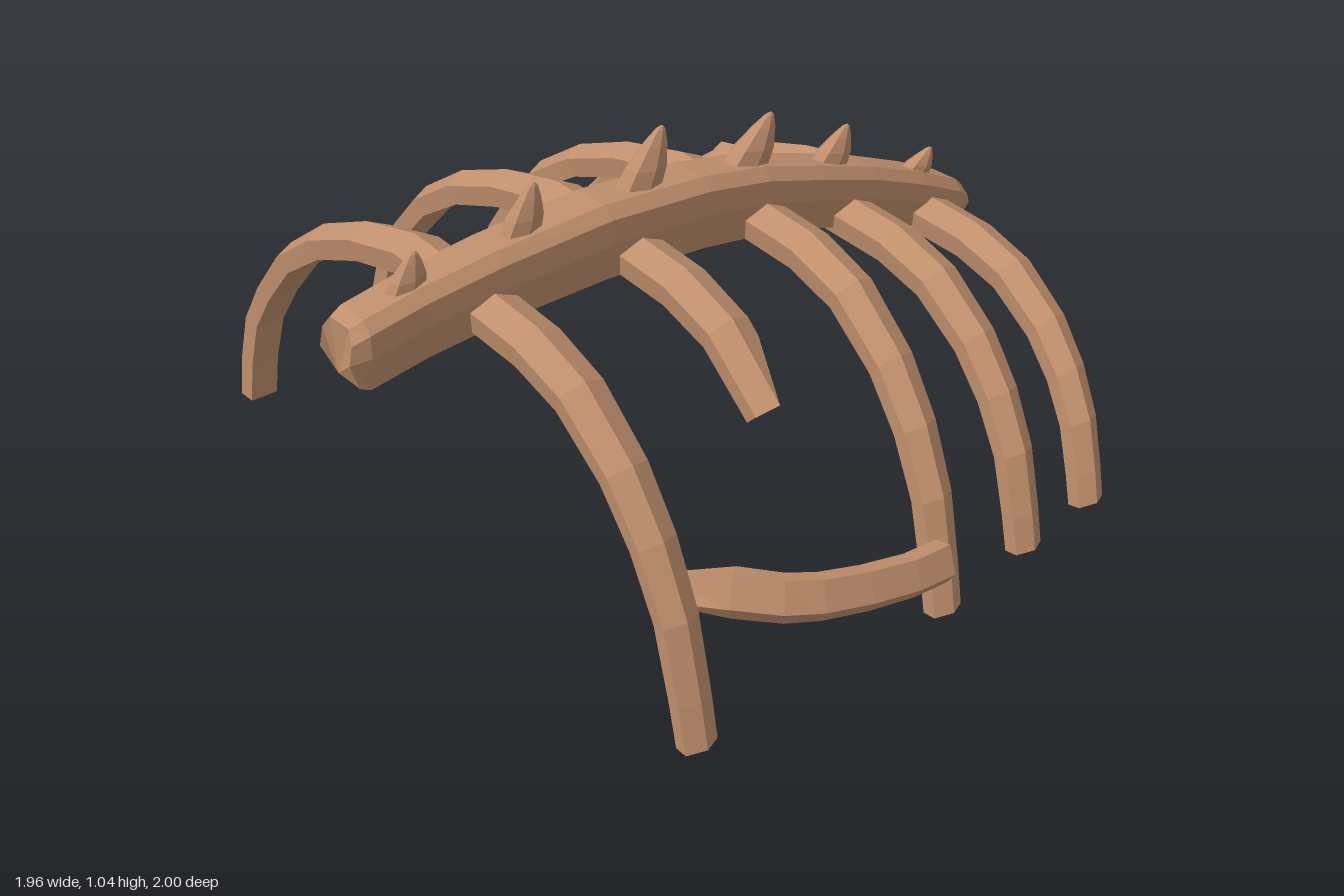
import * as THREE from 'three';

const bone = new THREE.MeshStandardMaterial({ color: 0xc08f6d });
bone.name = 'tan bone';
const V = (x, y, z) => new THREE.Vector3(x, y, z);
const lerp = THREE.MathUtils.lerp;

// Faceted skin over a list of rings, capped at both ends
function skin(name, rings) {
  const tris = [], n = rings[0].length, last = rings.length - 1;
  for (let i = 0; i < last; i++) for (let j = 0; j < n; j++) {
    const k = (j + 1) % n;
    const a = rings[i][j], b = rings[i][k], c = rings[i + 1][k], d = rings[i + 1][j];
    tris.push([a, b, c], [a, c, d]);
  }
  for (let j = 1; j < n - 1; j++) {
    tris.push([rings[0][0], rings[0][j + 1], rings[0][j]]);
    tris.push([rings[last][0], rings[last][j], rings[last][j + 1]]);
  }
  // Turn the faces outward whichever way the rings run
  const mid = rings[0][0];
  let volume = 0;
  for (const [a, b, c] of tris) {
    volume += a.clone().sub(mid).dot(b.clone().sub(mid).cross(c.clone().sub(mid)));
  }
  if (volume < 0) tris.forEach(t => t.reverse());
  const geo = new THREE.BufferGeometry().setFromPoints(tris.flat());
  geo.computeVertexNormals();
  const mesh = new THREE.Mesh(geo, bone);
  mesh.name = name;
  return mesh;
}

// Linear lookup in rows [t, value], extrapolating past the ends
function lookup(rows, t) {
  let i = 0;
  while (i < rows.length - 2 && t > rows[i + 1][0]) i++;
  const [a, p] = rows[i], [b, q] = rows[i + 1];
  return lerp(p, q, (t - a) / (b - a));
}

// Spine: [z, bottom, top, half width, x centre]
const SPINE = [
  [0.98, 0.67, 0.82, 0.06, 0.03], [0.95, 0.665, 0.838, 0.07, 0.035], [0.8, 0.69, 0.865, 0.072, 0.035],
  [0.6, 0.71, 0.89, 0.076, 0.038], [0.3, 0.72, 0.91, 0.082, 0.042], [0, 0.7, 0.89, 0.082, 0.042],
  [-0.2, 0.67, 0.855, 0.08, 0.042], [-0.4, 0.62, 0.795, 0.077, 0.04], [-0.6, 0.56, 0.73, 0.073, 0.037],
  [-0.8, 0.49, 0.65, 0.07, 0.032], [-0.95, 0.43, 0.58, 0.067, 0.027], [-0.98, 0.44, 0.555, 0.057, 0.025],
];
const spineTop = z => lookup(SPINE.map(r => [-r[0], r[2]]), -z);

function makeSpine() {
  const rings = SPINE.map(([z, lo, hi, w, x], i) => {
    const out = i === 0 ? 0.02 : i === SPINE.length - 1 ? -0.02 : 0;
    return [
      V(x - w * 0.75, lo, z - out * 0.5), V(x - w, lerp(lo, hi, 0.5), z + out), V(x - w, hi - 0.03, z + out * 0.5),
      V(x - w * 0.65, hi, z), V(x + w * 0.65, hi, z),
      V(x + w, hi - 0.03, z + out * 0.5), V(x + w, lerp(lo, hi, 0.5), z + out), V(x + w * 0.75, lo, z - out * 0.5),
    ];
  });
  return skin('spine', rings);
}

// Spikes along the spine: [z, half length, half width, tip z, tip y]
const SPIKES = [
  [0.82, 0.055, 0.036, 0.8, 0.945], [0.51, 0.06, 0.04, 0.475, 1.01], [0.165, 0.068, 0.046, 0.1, 1.04],
  [-0.175, 0.072, 0.046, -0.25, 0.975], [-0.47, 0.06, 0.04, -0.52, 0.865], [-0.8, 0.05, 0.034, -0.845, 0.705],
];
function makeSpike([z, rz, rx, tipZ, tipY]) {
  const rings = [[0, 1], [0.4, 0.86], [0.75, 0.5], [0.95, 0.22], [1, 0.08]].map(([t, s]) =>
    Array.from({ length: 7 }, (_, j) => {
      const a = j / 7 * Math.PI * 2, dz = Math.sin(a) * rz * s;
      const base = spineTop(z + dz) - 0.02;
      return V(lerp(0.04, 0.06, t) + Math.cos(a) * rx * s, lerp(base, tipY, t), lerp(z, tipZ, t) + dz);
    }));
  return skin('spike', rings);
}

// Rib ridge height from spine (t = 0) to tip (t = 1), as a share of the drop
const ARCH = {
  left: [[0, 1], [0.24, 1.03], [0.44, 0.97], [0.62, 0.87], [0.77, 0.72], [0.87, 0.54], [0.94, 0.37], [0.98, 0.17], [1, 0]],
  right: [[0, 1], [0.28, 0.97], [0.48, 0.9], [0.68, 0.74], [0.81, 0.57], [0.91, 0.37], [0.97, 0.14], [1, 0]],
};
// Rib section: [depth below the ridge, offset in z]
const SECTION = [[0, 0], [0.03, 0.065], [0.09, 0.055], [0.09, -0.055], [0.03, -0.065]];

// cut: t range; slantA and slantB lengthen the front edge at either end of a broken piece
function makeRib(name, side, z0, y0, [tx, ty, tz], cut = [0, 1], slantA = 0, slantB = 0) {
  const arch = ARCH[side], sign = side === 'left' ? -1 : 1;
  const at = t => V(lerp(0.04, tx, t), lerp(ty, y0, lookup(arch, t)), lerp(z0, tz, Math.abs(t) ** 2.4));
  const stops = [cut[0], ...arch.map(r => r[0]).filter(t => t > cut[0] + 0.05 && t < cut[1] - Math.max(0.015, slantB)), cut[1]];
  const rings = stops.map((stop, i) => SECTION.map(([d, w]) => {
    const slant = i === 0 ? -slantA : i === stops.length - 1 ? slantB : 0;
    const t = stop + slant * Math.min(0, w / 0.065);
    const tan = at(Math.min(t + 0.03, 1)).sub(at(t - 0.03)).setZ(0).normalize();
    const size = lerp(1, 0.7, t * t);
    const normal = V(-tan.y * sign, tan.x * sign, 0);
    return at(t).addScaledVector(normal, -d * size).add(V(0, 0, w * size));
  }));
  return skin(name, rings);
}

// Curved fragment lying beside the ribs: [x, z, bottom, top]
function makeFragment() {
  const path = [[0.975, 0, 0.175, 0.28], [0.965, 0.1, 0.175, 0.28], [0.935, 0.22, 0.178, 0.287],
    [0.895, 0.33, 0.182, 0.295], [0.845, 0.41, 0.184, 0.302], [0.755, 0.49, 0.185, 0.308], [0.635, 0.57, 0.19, 0.265]];
  const rings = path.map(([x, z, lo, hi], i) => {
    const a = path[Math.max(0, i - 1)], b = path[Math.min(path.length - 1, i + 1)];
    const inward = V(a[1] - b[1], 0, b[0] - a[0]).normalize();
    const p = (y, d) => V(x, y, z).addScaledVector(inward, d);
    return [p(lerp(lo, hi, 0.35), 0), p(hi, 0.025), p(hi - 0.015, 0.075), p(lo + 0.01, 0.075), p(lo, 0.025)];
  });
  return skin('looseRibFragment', rings);
}

export function createModel() {
  const group = new THREE.Group();
  group.name = 'ribCage';
  group.add(makeSpine(), ...SPIKES.map(makeSpike));

  // Whole ribs: spine z, spine y, right tip, left tip
  for (const [z, y, r, l] of [
    [0.63, 0.81, [0.88, 0.01, 0.66], [-0.965, 0.095, 0.715]],
    [-0.19, 0.775, [0.915, 0.025, -0.08], [-0.98, 0.125, -0.08]],
    [-0.825, 0.58, [0.855, 0.035, -0.68], [-0.91, 0.185, -0.7]],
  ]) {
    group.add(makeRib('ribHalf', 'right', z, y, r), makeRib('ribHalf', 'left', z, y, l));
  }
  // Second rib, snapped on one side
  group.add(makeRib('brokenRib', 'right', 0.21, 0.815, [0.9, 0.02, 0.28], [0, 0.69], 0, 0.16));
  group.add(makeRib('ribHalf', 'left', 0.21, 0.815, [-0.98, 0.165, 0.285]));
  // Fourth rib, with a gap on the other side
  const tip = [-0.97, 0.17, -0.4];
  group.add(makeRib('ribHalf', 'right', -0.51, 0.68, [0.88, 0.03, -0.41]));
  group.add(makeRib('brokenRib', 'left', -0.51, 0.68, tip, [0, 0.43], 0, 0.13));
  group.add(makeRib('brokenRibTip', 'left', -0.51, 0.68, tip, [0.82, 1], 0.07));
  group.add(makeFragment());
  return group;
}
